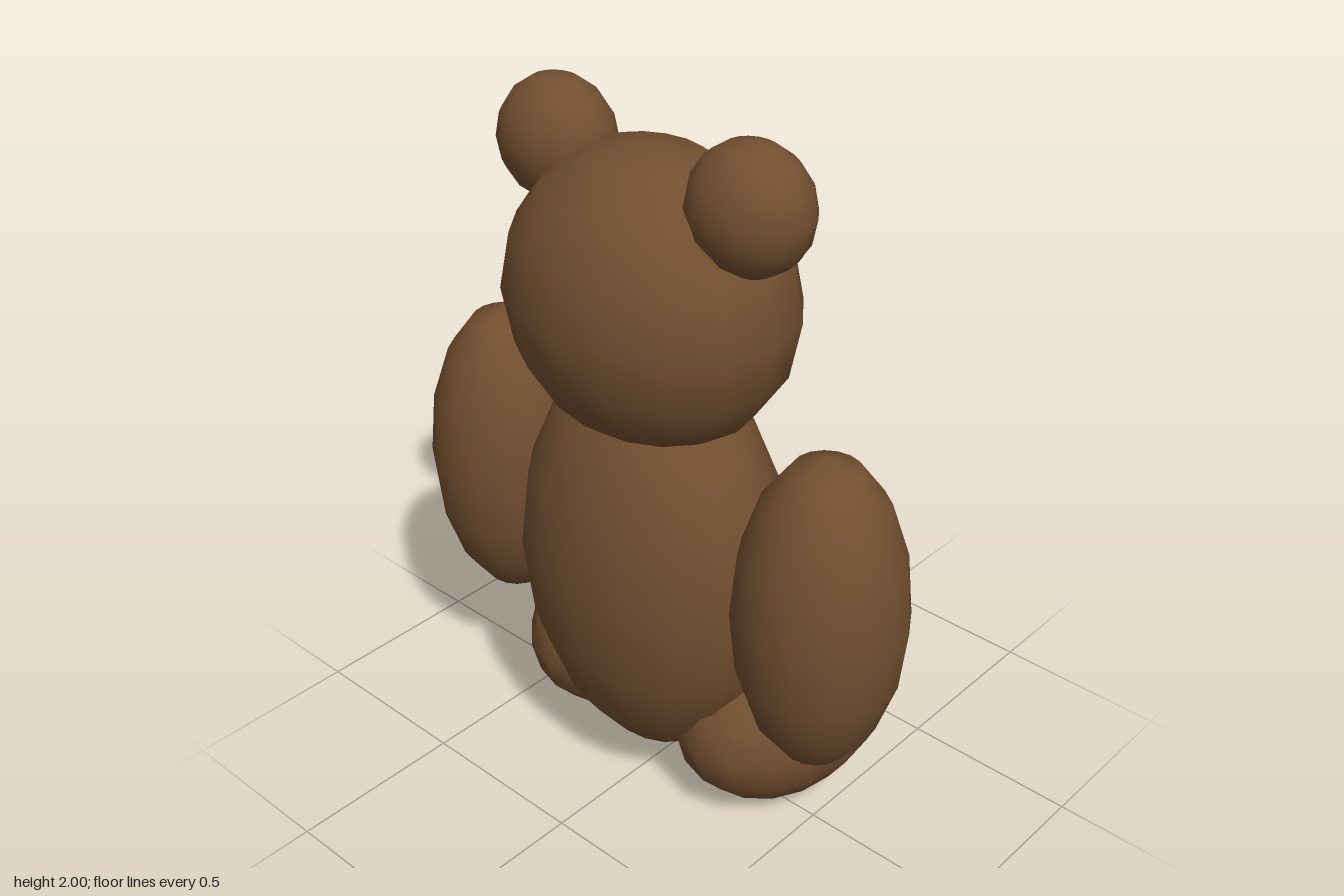
import * as THREE from 'three';

export function createModel() {
  const bear = new THREE.Group();
  bear.name = 'teddyBear';

  const material = (name, color) => {
    const m = new THREE.MeshStandardMaterial({ color });
    m.name = name;
    return m;
  };
  const fur = material('brownFur', 0x734f30);
  const muzzleBrown = material('darkMuzzle', 0x4f3c22);
  const black = material('eyeBlack', 0x2a2a2c);

  // Every part is the same coarse, smooth-shaded ball, stretched to size
  const ball = new THREE.SphereGeometry(1, 16, 8);
  const add = (name, mat, [x, y, z], [rx, ry, rz]) => {
    const mesh = new THREE.Mesh(ball, mat);
    mesh.name = name;
    mesh.position.set(x, y, z);
    mesh.scale.set(rx, ry, rz);
    bear.add(mesh);
  };
  const addPair = (name, mat, [x, y, z], radii) => {
    add(name + 'A', mat, [x, y, z], radii);
    add(name + 'B', mat, [x, y, -z], radii);
  };

  // Torso, head and muzzle lie on the middle plane; the bear looks along +x
  add('body', fur, [-0.105, 0.73, 0], [0.315, 0.61, 0.415]);
  add('head', fur, [-0.112, 1.51, 0], [0.338, 0.4, 0.417]);
  add('muzzle', muzzleBrown, [0.272, 1.425, 0], [0.081, 0.095, 0.143]);

  // Mirrored parts
  addPair('ear', fur, [-0.112, 1.835, 0.324], [0.143, 0.165, 0.168]);
  addPair('eye', black, [0.231, 1.57, 0.146], [0.042, 0.052, 0.053]);
  addPair('arm', fur, [-0.106, 0.815, 0.58], [0.228, 0.46, 0.23]);
  addPair('leg', fur, [0.094, 0.262, 0.297], [0.348, 0.258, 0.258]);

  // The whole figure is turned very slightly
  bear.rotation.y = -0.024;
  return bear;
}
